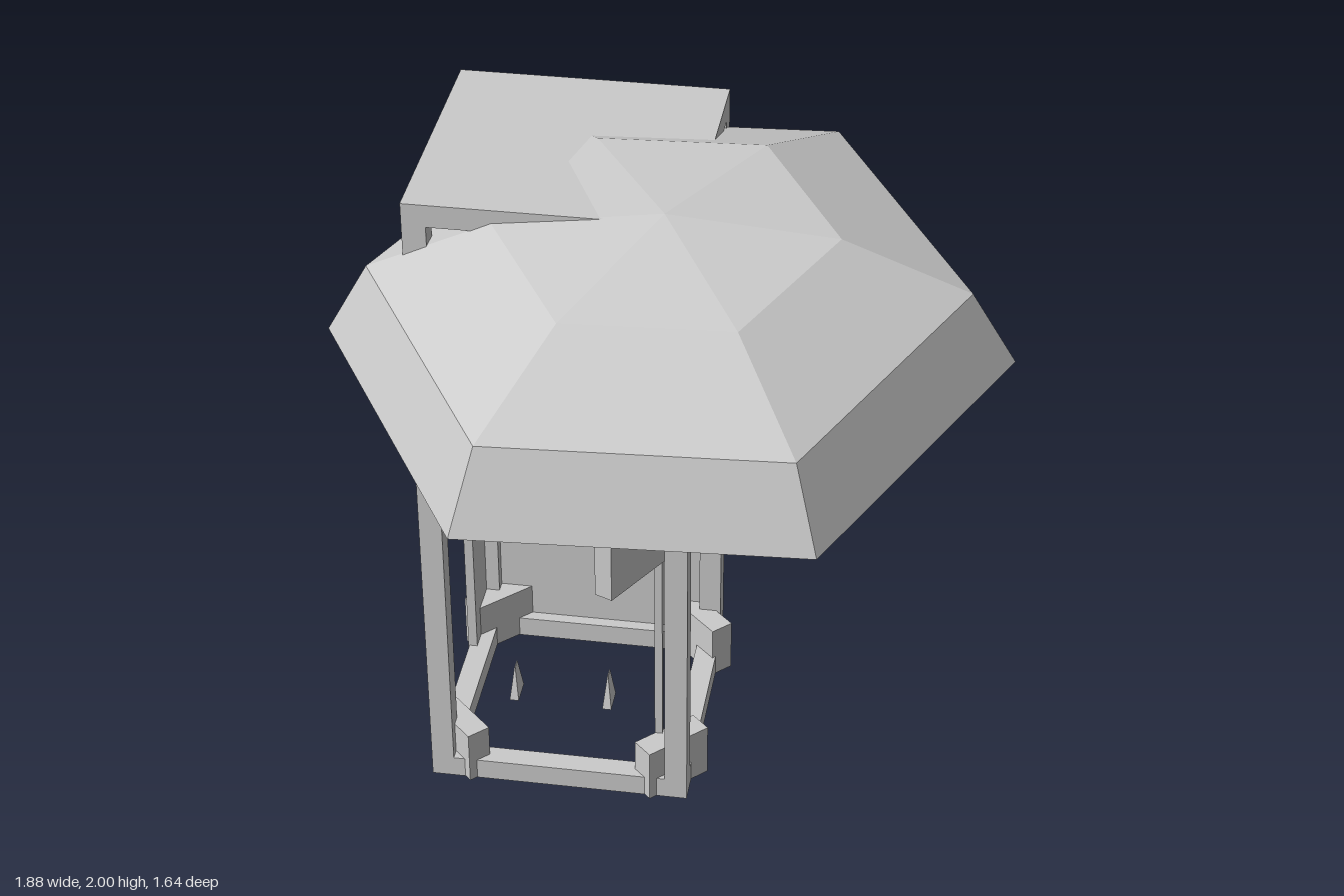
import * as THREE from 'three';

const grey = new THREE.MeshStandardMaterial({ color: 0xcccccc, flatShading: true });
const greyDouble = new THREE.MeshStandardMaterial({ color: 0xcccccc, flatShading: true, side: THREE.DoubleSide });

function add(parent, name, geometry, x, y, z, material = grey) {
  const mesh = new THREE.Mesh(geometry, material);
  mesh.name = name;
  mesh.position.set(x, y, z);
  parent.add(mesh);
  return mesh;
}

// Box given by its minimum and maximum on each axis
function block(parent, name, [x0, x1], [y0, y1], [z0, z1]) {
  const g = new THREE.BoxGeometry(x1 - x0, y1 - y0, z1 - z0);
  return add(parent, name, g, (x0 + x1) / 2, (y0 + y1) / 2, (z0 + z1) / 2);
}

// Tilted hexagonal canopy: three rings and an apex, open underneath
function canopyGeometry() {
  const u = new THREE.Vector3(0.94, 0.015, -0.037);
  const v = new THREE.Vector3(0.035, -0.122, 0.927);
  const rings = [
    { centre: new THREE.Vector3(0, 1.56, 0), scale: 1 },
    { centre: new THREE.Vector3(0, 1.782, 0.027), scale: 0.868 },
    { centre: new THREE.Vector3(0, 1.943, 0.048), scale: 0.495 },
    { centre: new THREE.Vector3(0, 2.0, 0.055), scale: 0 },
  ];
  const point = (r, i) => {
    const a = (i * Math.PI) / 3;
    return rings[r].centre.clone()
      .addScaledVector(u, rings[r].scale * Math.cos(a))
      .addScaledVector(v, rings[r].scale * Math.sin(a));
  };
  const points = [];
  for (let r = 0; r < 3; r++) {
    for (let i = 0; i < 6; i++) {
      const a = point(r, i), b = point(r, i + 1), c = point(r + 1, i + 1), d = point(r + 1, i);
      points.push(a, d, b);
      if (r < 2) points.push(b, d, c);
    }
  }
  const g = new THREE.BufferGeometry().setFromPoints(points);
  g.computeVertexNormals();
  return g;
}

// Box whose top is narrowed on x and z
function taperedBox(w, h, d, topX, topZ) {
  const g = new THREE.BoxGeometry(w, h, d);
  const p = g.attributes.position;
  for (let i = 0; i < p.count; i++) {
    if (p.getY(i) > 0) p.setXYZ(i, p.getX(i) * topX, p.getY(i), p.getZ(i) * topZ);
  }
  g.computeVertexNormals();
  return g;
}

export function createModel() {
  const model = new THREE.Group();
  model.name = 'shelter';

  // Open frame of square bars
  const lo = -0.71, hi = 0.067, bar = 0.067, top = 1.975;
  const near = [lo, lo + bar], far = [hi - bar, hi];
  const frame = new THREE.Group();
  frame.name = 'frame';
  model.add(frame);
  for (const s of [near, far]) {
    for (const t of [near, far]) block(frame, 'cornerPost', s, [0, top], t);
    for (const y of [[0, bar], [top - bar, top]]) {
      block(frame, 'crossRail', [lo + bar, hi - bar], y, s);
      block(frame, 'sideRail', s, y, [lo + bar, hi - bar]);
    }
  }

  // Back wall and roof sheet
  block(model, 'backWall', [lo, hi], [0, top], [lo - 0.001, lo + 0.03]);
  const mid = (lo + hi) / 2;
  const roof = new THREE.PlaneGeometry(hi - lo, hi - lo).rotateX(-Math.PI / 2);
  add(model, 'roofSheet', roof, mid, top + 0.001, mid);

  // Low panel on the right side beside the back post
  block(model, 'sidePanel', [-0.713, -0.685], [0, 0.51], [-0.645, -0.48]);

  // Diagonal foot brackets in the four corners
  for (const sx of [-1, 1]) {
    for (const sz of [-1, 1]) {
      const x = sx < 0 ? -0.641 : 0.008;
      const z = sz < 0 ? -0.636 : -0.017;
      const foot = add(model, 'footBracket', new THREE.BoxGeometry(0.216, 0.17, 0.074), x, 0.086, z);
      foot.rotation.y = (sx * sz * Math.PI) / 4;
    }
  }

  // Two pointed wedges between the side rails
  for (const x of [-0.517, -0.227]) {
    add(model, 'floorWedge', taperedBox(0.028, 0.11, 0.084, 0.1, 0.42), x, 0.12, -0.275);
  }

  // Canopy with hub, pole and guide rod
  add(model, 'canopy', canopyGeometry(), 0, 0, 0, greyDouble);
  block(model, 'canopyHub', [-0.1, 0.1], [1.73, 1.87], [-0.1, 0.1]);
  add(model, 'canopyPole', new THREE.CylinderGeometry(0.026, 0.026, 1.95, 6), 0.018, 0.975, -0.01);
  block(model, 'guideRod', [-0.043, -0.02], [0, 1.35], [-0.042, -0.02]);

  // Turned sign board with slightly peaked top and bottom
  const L = 0.33, t = 0.055;
  const outline = new THREE.Shape([
    [-L, 0.907], [0, 0.87], [L, 0.907], [L, 1.272], [0, 1.31], [-L, 1.272],
  ].map(([x, y]) => new THREE.Vector2(x, y)));
  const board = new THREE.ExtrudeGeometry(outline, { depth: t, bevelEnabled: false }).translate(0, 0, -t / 2);
  add(model, 'signBoard', board, 0, 0, 0).rotation.y = THREE.MathUtils.degToRad(66);

  return model;
}
